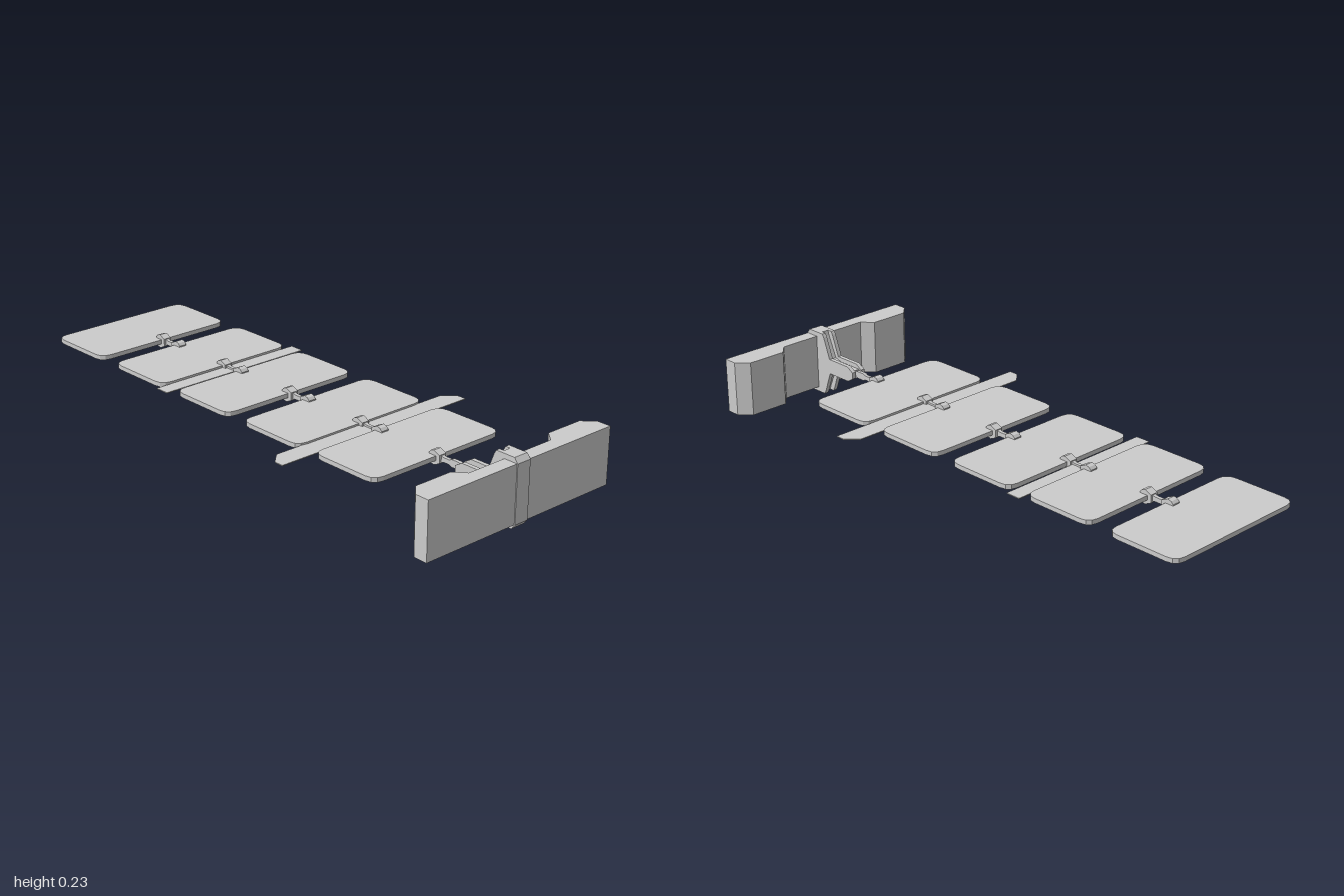
import * as THREE from 'three';

const MID = 0.117; // height of the common centre plane
const material = new THREE.MeshStandardMaterial({ color: 0xcccccc, flatShading: true, side: THREE.DoubleSide });

const shapeOf = (pts) => new THREE.Shape(pts.map(([x, y]) => new THREE.Vector2(x, y)));

function add(parent, name, geometry) {
  const mesh = new THREE.Mesh(geometry, material);
  mesh.name = name;
  parent.add(mesh);
  return mesh;
}

// Plan outline (x, z) extruded vertically, centred on the middle plane
function slab(shape, height) {
  const g = new THREE.ExtrudeGeometry(shape, { depth: height, bevelEnabled: false, curveSegments: 3 });
  return g.translate(0, 0, -height / 2).rotateX(Math.PI / 2).translate(0, MID, 0);
}

// Side profile (x, y above the middle plane) mirrored downwards, extruded along z
function profile(upper, width, z = 0) {
  const lower = upper.filter((p) => p[1] > 0).map(([x, y]) => [x, -y]).reverse();
  const g = new THREE.ExtrudeGeometry(shapeOf([...upper, ...lower]), { depth: width, bevelEnabled: false });
  return g.translate(0, MID, z - width / 2);
}

function roundedRect(x0, x1, z, r) {
  const s = new THREE.Shape();
  s.moveTo(x0 + r, -z);
  s.lineTo(x1 - r, -z);
  s.quadraticCurveTo(x1, -z, x1, -z + r);
  s.lineTo(x1, z - r);
  s.quadraticCurveTo(x1, z, x1 - r, z);
  s.lineTo(x0 + r, z);
  s.quadraticCurveTo(x0, z, x0, z - r);
  s.lineTo(x0, -z + r);
  s.quadraticCurveTo(x0, -z, x0 + r, -z);
  return s;
}

// Clip that grips a panel edge, with a narrow neck towards the joint
function halfHinge(parent, side) {
  const half = new THREE.Group();
  half.name = 'hingeHalf';
  add(half, 'clip', profile([[-0.068, 0.012], [-0.06, 0.021], [-0.046, 0.025], [-0.022, 0.014], [-0.022, 0]], 0.03));
  add(half, 'neck', profile([[-0.024, 0.012], [-0.012, 0.008], [0, 0.008]], 0.013));
  if (side > 0) half.rotation.y = Math.PI;
  parent.add(half);
}

export function createModel() {
  const model = new THREE.Group();
  model.name = 'panelArray';

  // Five flat panels, each followed by a hinge
  for (let i = 0; i < 5; i++) {
    const x = -1 + i * 0.3455;
    add(model, 'panel', slab(roundedRect(x, x + 0.272, 0.28, 0.04), 0.016));
    const hinge = new THREE.Group();
    hinge.name = 'hinge';
    hinge.position.x = x + 0.309;
    halfHinge(hinge, -1);
    if (i < 4) halfHinge(hinge, 1);
    else add(hinge, 'link', profile([[0, 0.008], [0.012, 0.008], [0.022, 0.013], [0.05, 0.013], [0.07, 0.009]], 0.013));
    model.add(hinge);
  }

  // Thin cross strips
  add(model, 'narrowStrip', slab(shapeOf([[-0.38, -0.305], [-0.325, -0.305], [-0.325, 0.305], [-0.38, 0.305]]), 0.003));
  add(model, 'wideStrip', slab(shapeOf([
    [0.345, -0.407], [0.38, -0.407], [0.38, 0.407], [0.345, 0.407], [0.305, 0.365], [0.305, -0.365],
  ]), 0.003));

  // End plate, thickened towards both tips
  const tip = [[0.945, 0.18], [0.905, 0.215], [0.905, 0.36], [0.945, 0.4], [0.996, 0.4]];
  add(model, 'endPlate', slab(shapeOf([...tip, ...tip.map(([x, z]) => [x, -z]).reverse()]), 0.2));

  // Forked bracket: two cheeks around a recessed core
  const bracket = new THREE.Group();
  bracket.name = 'bracket';
  const cheek = [[0.748, 0.012], [0.775, 0.028], [0.876, 0.028], [0.905, 0.105], [0.912, 0.117], [0.985, 0.117], [0.999, 0.1]];
  const core = [[0.76, 0.012], [0.86, 0.012], [0.89, 0.02], [0.925, 0.1], [0.93, 0.117], [0.985, 0.117], [0.999, 0.1]];
  for (const s of [-1, 1]) add(bracket, 'cheek', profile(cheek, 0.015, s * 0.0205));
  add(bracket, 'core', profile(core, 0.027));
  model.add(bracket);

  return model;
}
